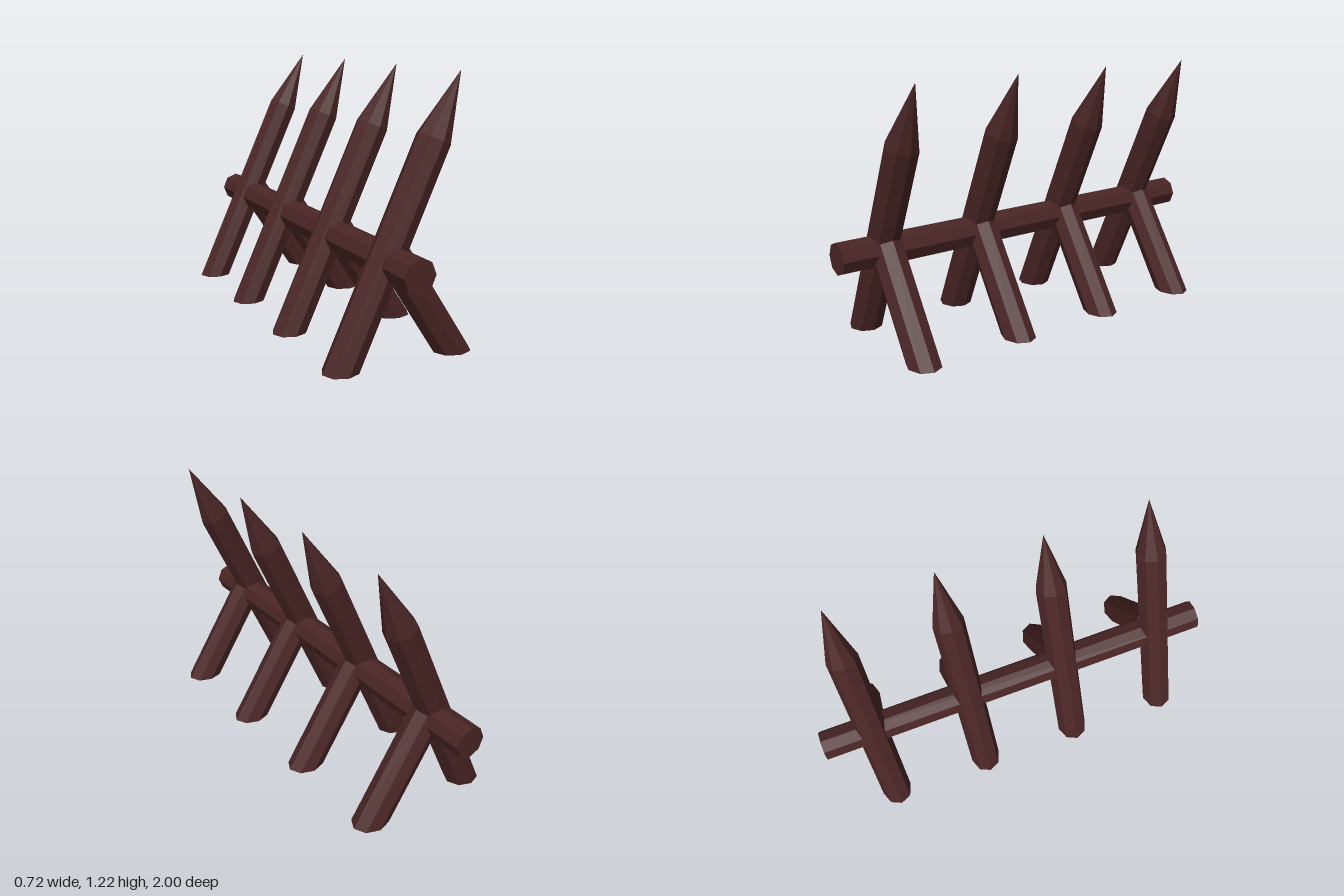
import * as THREE from 'three';

const R = 0.076;
const SIDES = 8;

// Flat facets with hard edges
function faceted(geometry) {
  const g = geometry.toNonIndexed();
  g.computeVertexNormals();
  return g;
}

// Leaning octagonal pole from (x0, 0) up to (x1, y1), its foot cut level with the ground
function leaningPole(x0, x1, y1) {
  const dx = x1 - x0;
  const length = Math.hypot(dx, y1);
  const g = new THREE.CylinderGeometry(R, R, length, SIDES);
  g.translate(0, length / 2, 0);
  g.rotateZ(-Math.atan2(dx, y1));
  g.translate(x0, 0, 0);
  // Slide the foot corners along the axis onto y = 0
  const p = g.attributes.position;
  for (let i = 0; i < p.count; i++) {
    const y = p.getY(i);
    if (y < R) p.setXY(i, p.getX(i) - (y * dx) / y1, 0);
  }
  return faceted(g);
}

export function createModel() {
  const model = new THREE.Group();
  model.name = 'spikedBarricade';
  const wood = new THREE.MeshStandardMaterial({ color: 0x4a2525 });
  wood.name = 'darkWood';

  const add = (parent, name, geometry) => {
    const mesh = new THREE.Mesh(geometry, wood);
    mesh.name = name;
    parent.add(mesh);
    return mesh;
  };

  // Long horizontal beam
  const beam = new THREE.CylinderGeometry(0.075, 0.075, 2, SIDES);
  beam.rotateX(Math.PI / 2);
  add(model, 'beam', faceted(beam)).position.set(-0.052, 0.44, 0);

  // Stake axis: foot, shoulder and tip
  const foot = -0.28, shoulderX = 0.147, shoulderY = 0.938;
  const lean = Math.atan2(shoulderX - foot, shoulderY);
  const tipLength = 0.308;

  const shaftGeometry = leaningPole(foot, shoulderX, shoulderY);
  const point = new THREE.ConeGeometry(R, tipLength, SIDES, 1, true);
  point.translate(0, tipLength / 2, 0);
  point.rotateZ(-lean);
  point.translate(shoulderX, shoulderY, 0);
  const pointGeometry = faceted(point);
  const braceGeometry = leaningPole(0.27, -0.031, 0.46);

  // Four sharpened stakes, each with a supporting brace
  for (let i = 0; i < 4; i++) {
    const frame = new THREE.Group();
    frame.name = 'stakeFrame' + (i + 1);
    frame.position.z = 0.77 - i * 0.506;
    add(frame, 'stakeShaft', shaftGeometry);
    add(frame, 'stakePoint', pointGeometry);
    add(frame, 'brace', braceGeometry);
    model.add(frame);
  }
  return model;
}
